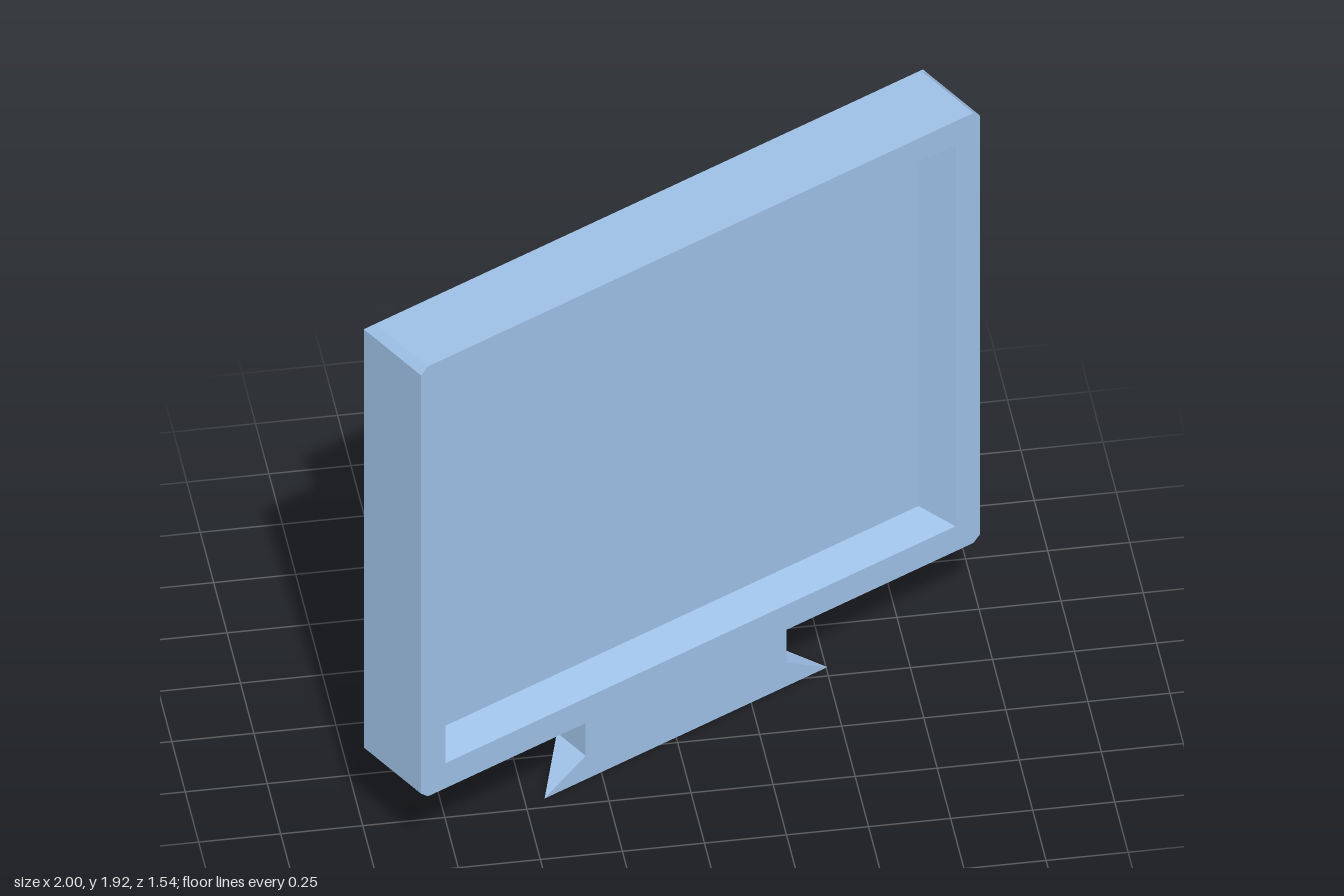
import * as THREE from 'three';
import { ConvexGeometry } from 'three/addons/geometries/ConvexGeometry.js';

const material = new THREE.MeshStandardMaterial({ color: 0x9dbfe5, flatShading: true });

// Eight-point outline, counter-clockwise from the front; cx, cb, ct cut its corners
function ring(h, y0, y1, z, cx = 0, cb = 0, ct = cb) {
  return [
    [h, y0 + cb], [h, y1 - ct], [h - cx, y1], [cx - h, y1],
    [-h, y1 - ct], [-h, y0 + cb], [cx - h, y0], [h - cx, y0],
  ].map(([x, y]) => new THREE.Vector3(x, y, z));
}

// Skin a row of rings, leaving out collapsed triangles
function loft(rings, capFront, capBack) {
  const points = [];
  const tri = (a, b, c) => {
    if (new THREE.Triangle(a, b, c).getArea() > 1e-8) points.push(a, b, c);
  };
  for (let r = 0; r + 1 < rings.length; r++) {
    const a = rings[r], b = rings[r + 1];
    a.forEach((_, i) => {
      const j = (i + 1) % a.length;
      tri(a[i], b[i], b[j]);
      tri(a[i], b[j], a[j]);
    });
  }
  const first = rings[0], last = rings[rings.length - 1];
  for (let i = 1; i < first.length - 1; i++) {
    if (capFront) tri(first[0], first[i], first[i + 1]);
    if (capBack) tri(last[0], last[i + 1], last[i]);
  }
  const geometry = new THREE.BufferGeometry().setFromPoints(points);
  geometry.computeVertexNormals();
  return geometry;
}

// Mirrored corner points [halfWidth, y, z] wrapped in a flat-sided hull
function mirroredHull(corners) {
  return new ConvexGeometry(corners.flatMap(([x, y, z]) =>
    [new THREE.Vector3(x, y, z), new THREE.Vector3(-x, y, z)]));
}

export function createModel() {
  const model = new THREE.Group();
  model.name = 'monitor';
  const add = (name, geometry) => {
    const mesh = new THREE.Mesh(geometry, material);
    mesh.name = name;
    model.add(mesh);
    return mesh;
  };

  const screenEdge = ring(0.902, 0.42, 1.79, 0.037);
  const opening = ring(0.962, 0.38, 1.83, 0.1425);
  const frontEdge = ring(1.055, 0.285, 1.92, 0.1425, 0.026, 0.022);

  // Recessed screen, sloping bezel and outer casing
  add('screen', loft([screenEdge], true, false));
  add('bezel', loft([screenEdge, opening, frontEdge], false, false));
  add('casing', loft([
    frontEdge,
    ring(1.055, 0.285, 1.92, -0.12, 0.026, 0.022),
    ring(1.055, 0.285, 1.898, -0.1425, 0.026, 0.022, 0),
  ], false, true));

  // Tapered rear housing
  add('rearHousing', mirroredHull([
    [0.842, 0.592, -0.1425], [0.842, 1.543, -0.1425],
    [0.574, 0.64, -0.732], [0.574, 1.29, -0.732],
  ]));

  // Neck and foot, with pointed wings along the front
  const front = 0.07, back = -0.073, half = 0.379, footTop = 0.09;
  const neck = add('neck', new THREE.BoxGeometry(half * 2, 0.285 - footTop, front - back));
  neck.position.set(0, (0.285 + footTop) / 2, (front + back) / 2);
  add('foot', mirroredHull([
    [half, footTop, front], [half, footTop, back],
    [0.534, 0, front], [half, 0, back],
  ]));

  // The whole monitor is turned on its stand
  model.rotation.y = THREE.MathUtils.degToRad(27.9);
  model.position.z = 0.145;
  const root = new THREE.Group();
  root.add(model);
  return root;
}
